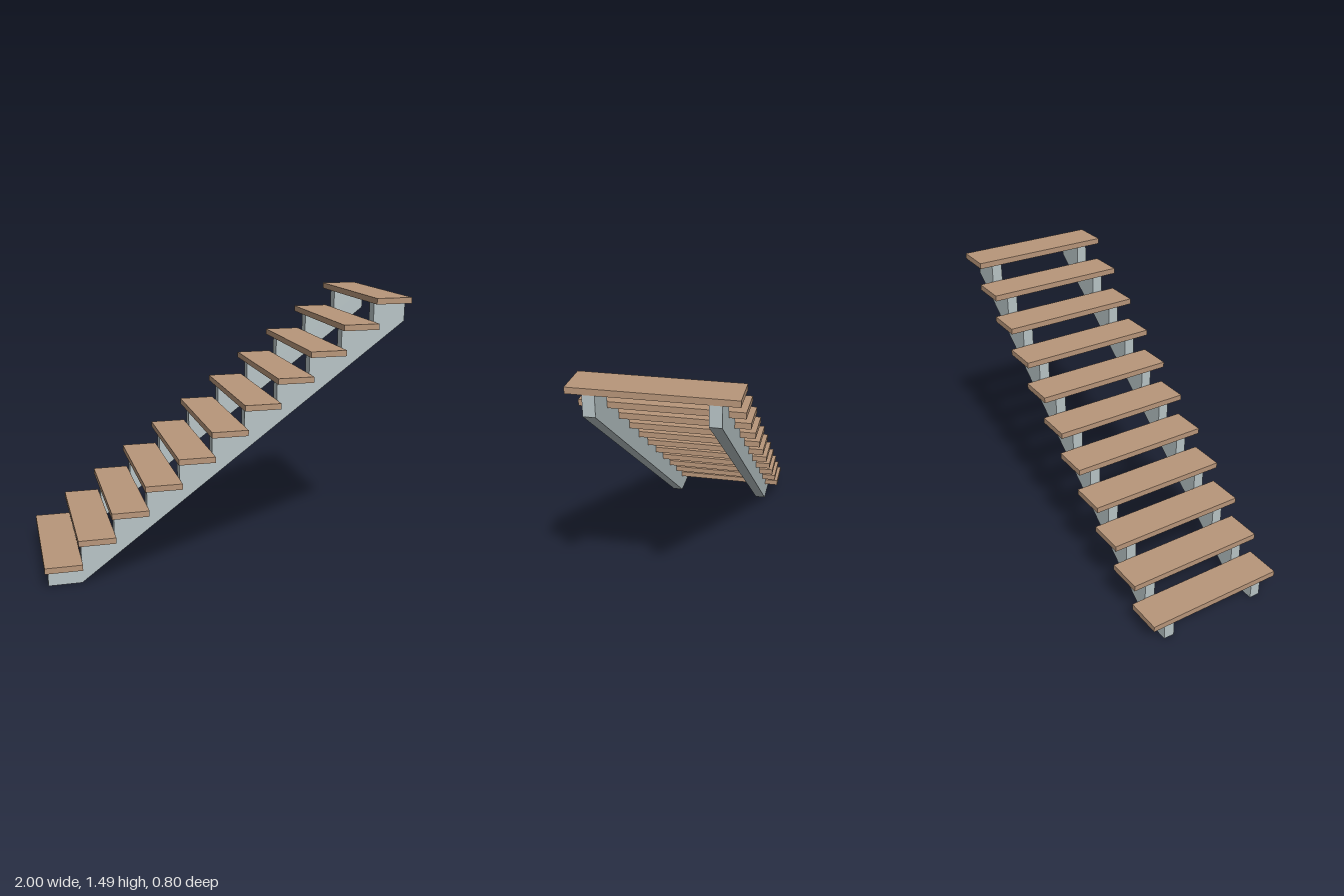
import * as THREE from 'three';

const STEPS = 11, RUN = 0.18, RISE = 0.135;
const TREAD = { depth: 0.2, thick: 0.032, width: 0.795, bottom: 0.105 };
const STRINGER = { thick: 0.06, z: 0.287, start: -0.98 };

export function createModel() {
  const group = new THREE.Group();
  group.name = 'staircase';
  const wood = new THREE.MeshStandardMaterial({ color: 0xb8967a });
  const steel = new THREE.MeshStandardMaterial({ color: 0xb8c4c6 });

  // Overlapping open treads
  const treadGeo = new THREE.BoxGeometry(TREAD.depth, TREAD.thick, TREAD.width);
  for (let i = 0; i < STEPS; i++) {
    const tread = new THREE.Mesh(treadGeo, wood);
    tread.name = `tread${i + 1}`;
    tread.position.set(-1 + TREAD.depth / 2 + i * RUN, TREAD.bottom + TREAD.thick / 2 + i * RISE, 0);
    group.add(tread);
  }

  // Sawtooth stringer: sloped underside, then stepped top from high to low
  const shape = new THREE.Shape();
  shape.moveTo(STRINGER.start, 0);
  shape.lineTo(-0.8, 0);
  shape.lineTo(1, (STEPS - 1) * RISE);
  for (let i = STEPS - 1; i >= 0; i--) {
    const y = TREAD.bottom + i * RISE;
    shape.lineTo(i === STEPS - 1 ? 1 : STRINGER.start + (i + 1) * RUN, y);
    shape.lineTo(STRINGER.start + i * RUN, y);
  }
  const stringerGeo = new THREE.ExtrudeGeometry(shape, { depth: STRINGER.thick, bevelEnabled: false });
  stringerGeo.translate(0, 0, -STRINGER.thick / 2);
  for (const [name, side] of [['frontStringer', 1], ['backStringer', -1]]) {
    const stringer = new THREE.Mesh(stringerGeo, steel);
    stringer.name = name;
    stringer.position.z = side * STRINGER.z;
    group.add(stringer);
  }
  return group;
}
